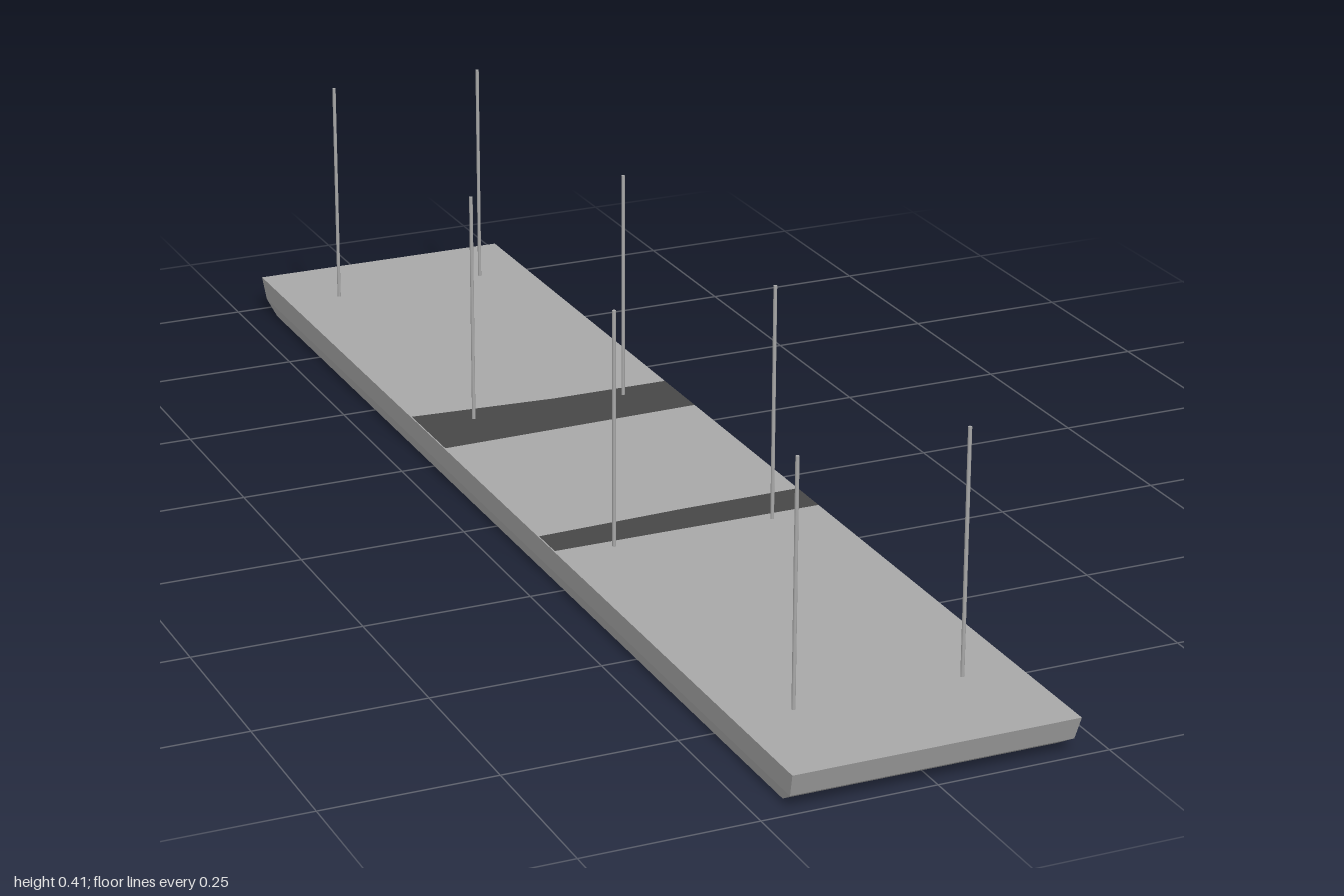
import * as THREE from 'three';

const paleGrey = new THREE.MeshStandardMaterial({ color: 0xa8a8a8 });
paleGrey.name = 'paleGrey';
const darkGrey = new THREE.MeshStandardMaterial({ color: 0x474747 });
darkGrey.name = 'darkGrey';

const TOP = 0.0545;
const ROD_BOTTOM = 0.06;
const ROD_TOP = 0.413;

function addMesh(group, name, geometry, material) {
  const mesh = new THREE.Mesh(geometry, material);
  mesh.name = name;
  group.add(mesh);
  return mesh;
}

// Slab: a box with three levels, drawn in towards the underside
function slabGeometry() {
  const levels = [
    { y: 0, x: 0.198, z: 0.955 },
    { y: 0.02, x: 0.204, z: 0.988 },
    { y: TOP, x: 0.207, z: 1 },
  ];
  const box = new THREE.BoxGeometry(2, 2, 2, 1, 2, 1);
  const p = box.attributes.position;
  for (let i = 0; i < p.count; i++) {
    const l = levels[Math.round(p.getY(i)) + 1];
    p.setXYZ(i, Math.sign(p.getX(i)) * l.x, l.y, Math.sign(p.getZ(i)) * l.z);
  }
  const flat = box.toNonIndexed();
  flat.computeVertexNormals();
  return flat;
}

// Band: flat strip across the top, outlined in x and z
function bandGeometry(outline) {
  const shape = new THREE.Shape(outline.map(([x, z]) => new THREE.Vector2(x, -z)));
  return new THREE.ShapeGeometry(shape).rotateX(-Math.PI / 2);
}

export function createModel() {
  const model = new THREE.Group();
  model.name = 'suspendedPanel';

  addMesh(model, 'slab', slabGeometry(), paleGrey);

  // Dark bands on the upper face
  const bands = {
    backBand: [[-0.206, -0.32], [0.02, -0.303], [0.206, -0.302], [0.206, -0.192], [-0.206, -0.182]],
    frontBand: [[-0.206, 0.178], [0.02, 0.169], [0.206, 0.167], [0.206, 0.235], [-0.206, 0.235]],
  };
  for (const [name, outline] of Object.entries(bands)) {
    addMesh(model, name, bandGeometry(outline), darkGrey).position.y = TOP + 0.001;
  }

  // Four pairs of suspension rods, ending just above the slab
  const rod = new THREE.CylinderGeometry(0.0027, 0.0027, ROD_TOP - ROD_BOTTOM, 12);
  for (const z of [0.838, 0.262, -0.265, -0.85]) {
    for (const x of [-0.127, 0.119]) {
      addMesh(model, 'rod', rod, paleGrey).position.set(x, (ROD_TOP + ROD_BOTTOM) / 2, z);
    }
  }
  return model;
}
